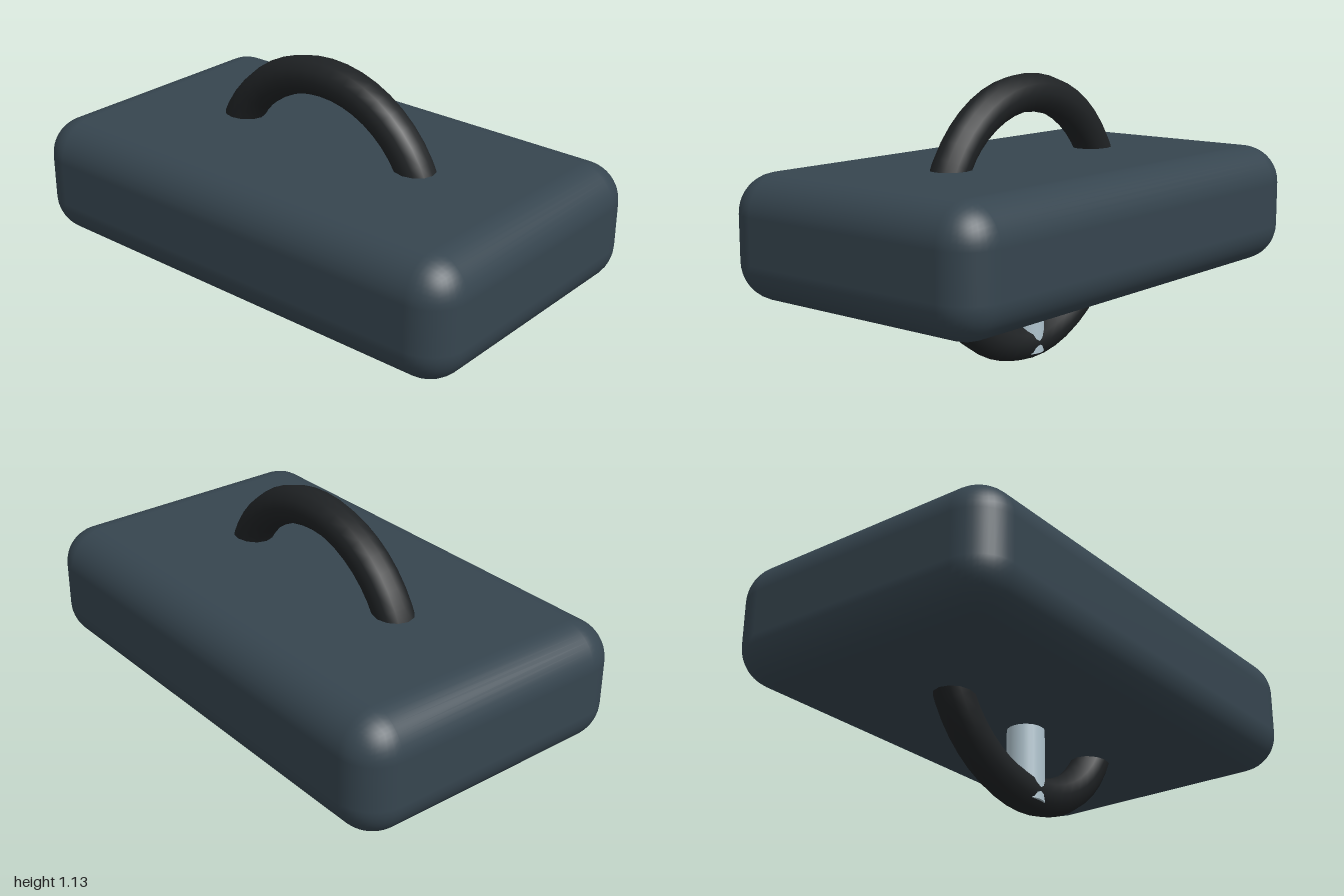
import * as THREE from 'three';
import { RoundedBoxGeometry } from 'three/addons/geometries/RoundedBoxGeometry.js';

const CENTER_Y = 0.567;

function addPart(group, name, geometry, color, y) {
  const mesh = new THREE.Mesh(geometry, new THREE.MeshStandardMaterial({ color }));
  mesh.name = name;
  mesh.position.y = y;
  group.add(mesh);
}

export function createModel() {
  const model = new THREE.Group();
  model.name = 'roundedBlockWithRing';

  // Soft-cornered main block
  addPart(model, 'body', new RoundedBoxGeometry(2, 0.475, 1.2, 5, 0.15), 0x36454f, CENTER_Y);

  // Upright ring running through the block: handle above, loop below
  addPart(model, 'ring', new THREE.TorusGeometry(0.489, 0.075, 12, 48), 0x1f2224, CENTER_Y);

  // Pin from the block down into the bottom of the ring
  const top = 0.5, bottom = 0.037;
  addPart(model, 'pin', new THREE.CylinderGeometry(0.073, 0.073, top - bottom, 24), 0xb0c4ce, (top + bottom) / 2);

  return model;
}
